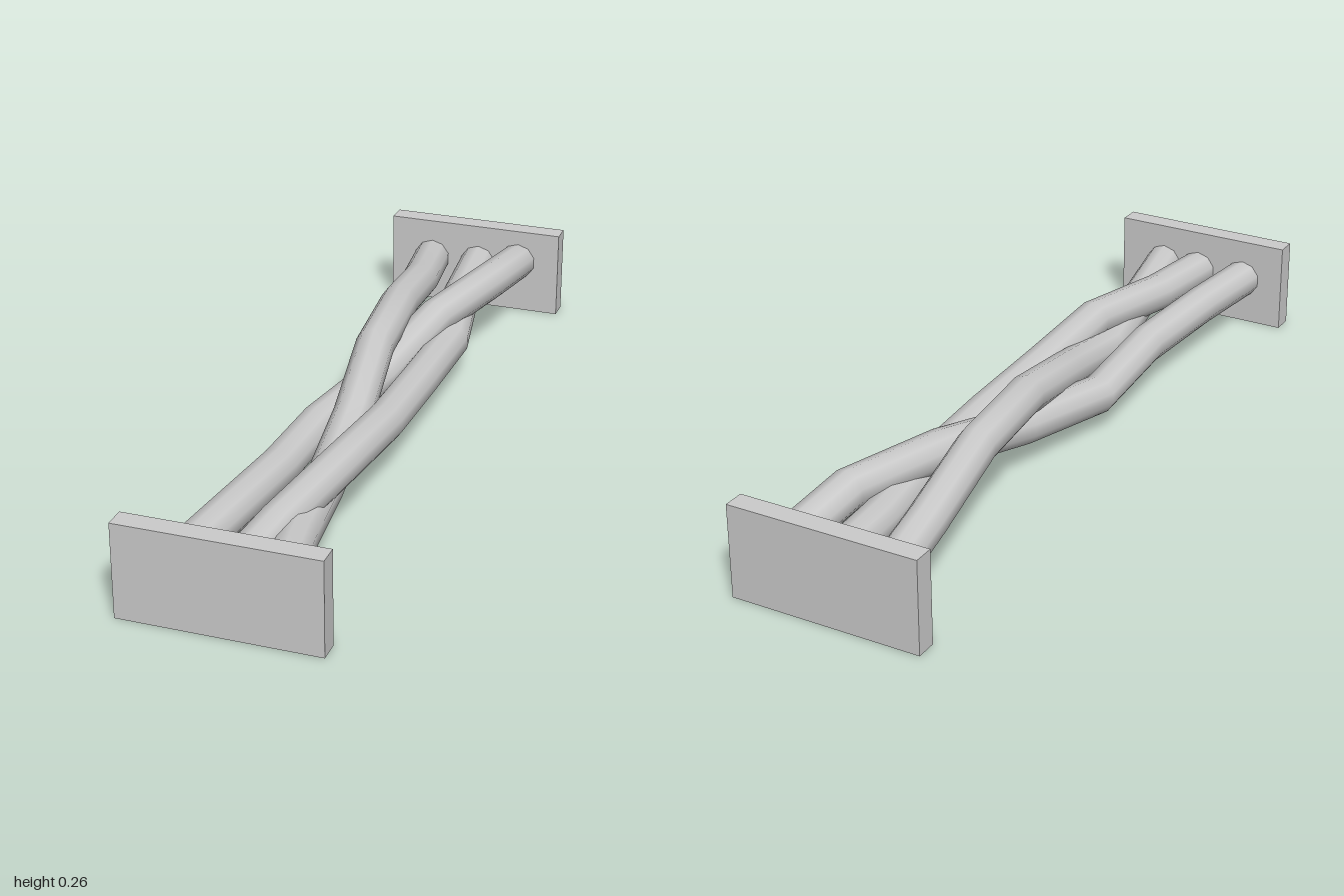
import * as THREE from 'three';

// Straight-segment path whose bends are mitred by the tube rings
class BentPath extends THREE.Curve {
  constructor(points) {
    super();
    this.points = points;
  }
  getPoint(t, target = new THREE.Vector3()) {
    const n = this.points.length - 1;
    const i = Math.min(Math.floor(t * n + 1e-9), n - 1);
    return target.lerpVectors(this.points[i], this.points[i + 1], t * n - i);
  }
  getPointAt(u, target) { return this.getPoint(u, target); }
  getTangentAt(u, target) { return this.getTangent(u, target); }
}

export function createModel() {
  const model = new THREE.Group();
  const material = new THREE.MeshStandardMaterial({ color: 0xcccccc });
  const add = (name, geometry, x = 0, y = 0, z = 0) => {
    const mesh = new THREE.Mesh(geometry, material);
    mesh.name = name;
    mesh.position.set(x, y, z);
    model.add(mesh);
  };

  // End plates
  const height = 0.242, thickness = 0.055;
  const plate = new THREE.BoxGeometry(0.5, height, thickness);
  add('frontPlate', plate, 0, height / 2, 1 - thickness / 2);
  add('backPlate', plate, 0, height / 2, -1 + thickness / 2);

  // Three interwoven strands: [x, y] at each bend from front to back
  const stations = [0.95, 0.72, 0.43, 0.14, -0.14, -0.43, -0.72, -0.95];
  const strands = {
    rightToLeftStrand: [[-0.13, 0.13], [-0.105, 0.13], [-0.08, 0.122], [-0.087, 0.1],
      [-0.02, 0.12], [0.04, 0.172], [0.115, 0.18], [0.13, 0.15]],
    leftToRightStrand: [[0.12, 0.13], [0.08, 0.117], [0.035, 0.088], [0.01, 0.145],
      [-0.03, 0.206], [-0.06, 0.205], [-0.095, 0.15], [-0.13, 0.13]],
    middleStrand: [[0.01, 0.13], [0.03, 0.14], [0.08, 0.161], [0.091, 0.135],
      [0.091, 0.125], [0.085, 0.11], [0.03, 0.125], [0.01, 0.13]],
  };
  for (const [name, bends] of Object.entries(strands)) {
    const path = new BentPath(bends.map(([x, y], i) => new THREE.Vector3(x, y, stations[i])));
    add(name, new THREE.TubeGeometry(path, stations.length - 1, 0.051, 10));
  }
  return model;
}
